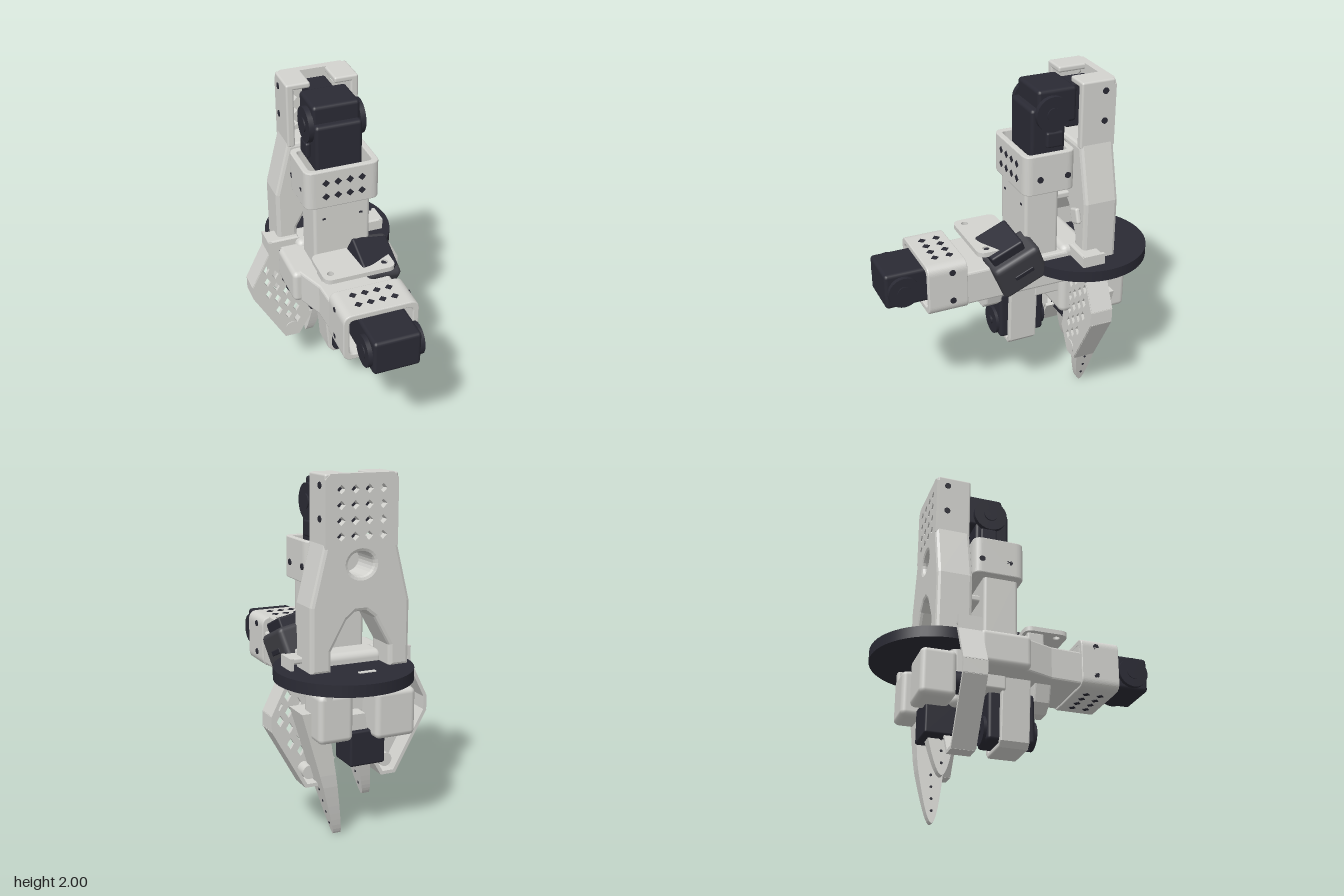
import * as THREE from 'three';
import { RoundedBoxGeometry } from 'three/addons/geometries/RoundedBoxGeometry.js';

const light = new THREE.MeshStandardMaterial({ color: 0xd2d2ce });
light.name = 'light plastic';
const dark = new THREE.MeshStandardMaterial({ color: 0x2a2a34 });
dark.name = 'dark motor';
const grey = new THREE.MeshStandardMaterial({ color: 0x414147 });
grey.name = 'dark grey case';

export function createModel() {
  const root = new THREE.Group();
  const add = (name, geo, mat = light, parent = root) => {
    const m = new THREE.Mesh(geo, mat);
    m.name = name;
    parent.add(m);
    return m;
  };
  // box given by its limits on each axis
  const box = (name, x0, x1, y0, y1, z0, z1, mat = light, r = 0.012) => {
    const m = add(name, new RoundedBoxGeometry(x1 - x0, y1 - y0, z1 - z0, 2, r), mat);
    m.position.set((x0 + x1) / 2, (y0 + y1) / 2, (z0 + z1) / 2);
    return m;
  };
  const poly = (pts, Type = THREE.Shape) => new Type(pts.map(p => new THREE.Vector2(...p)));
  const diamond = (x, y, w, h = w) => poly([[x - w, y], [x, y - h], [x + w, y], [x, y + h]], THREE.Path);
  const ext = (shape, z0, z1, bevel = 0) => new THREE.ExtrudeGeometry(shape, {
    depth: z1 - z0 - 2 * bevel, bevelEnabled: bevel > 0, bevelSize: bevel, bevelOffset: -bevel,
    bevelThickness: bevel, bevelSegments: 2, curveSegments: 12,
  }).translate(0, 0, z0 + bevel);
  // shape drawn in (x, -z) and raised from y0 to y1
  const rise = (shape, y0, y1, bevel = 0) => ext(shape, y0, y1, bevel).rotateX(-Math.PI / 2);
  const roundRect = (x0, x1, y0, y1, r, Type = THREE.Shape) => {
    const s = new Type();
    s.moveTo(x0 + r, y0).lineTo(x1 - r, y0).quadraticCurveTo(x1, y0, x1, y0 + r);
    s.lineTo(x1, y1 - r).quadraticCurveTo(x1, y1, x1 - r, y1);
    s.lineTo(x0 + r, y1).quadraticCurveTo(x0, y1, x0, y1 - r);
    s.lineTo(x0, y0 + r).quadraticCurveTo(x0, y0, x0 + r, y0);
    return s;
  };
  const disc = (name, axis, r, len, x, y, z, mat = dark, sides = 24) => {
    const g = new THREE.CylinderGeometry(r, r, len, sides);
    if (axis === 'x') g.rotateZ(Math.PI / 2);
    if (axis === 'z') g.rotateX(Math.PI / 2);
    add(name, g, mat).position.set(x, y, z);
  };

  // round base plate
  disc('baseDisc', 'y', 0.38, 0.065, 0.055, 0.937, -0.425, dark, 64);
  box('baseSlot', -0.05, 0.05, 0.965, 0.976, -0.61, -0.585, light, 0.004);

  // back frame with arched legs
  const frame = poly([[-0.29, 0.96], [-0.17, 0.96], [-0.17, 1.08], [-0.08, 1.24], [-0.03, 1.28], [0.03, 1.28],
    [0.08, 1.24], [0.17, 1.08], [0.17, 0.96], [0.29, 0.96], [0.29, 1.32], [0.21, 1.64], [-0.21, 1.64], [-0.29, 1.32]]);
  const oval = new THREE.Path();
  oval.absellipse(0, 1.53, 0.075, 0.065, 0, Math.PI * 2);
  frame.holes.push(oval);
  add('backFrame', ext(frame, -0.525, -0.32, 0.02));
  const panel = poly([[-0.21, 1.62], [0.21, 1.62], [0.21, 1.97], [0.18, 2], [-0.18, 2], [-0.21, 1.97]]);
  for (let i = 0; i < 4; i++) for (let j = 0; j < 4; j++) {
    panel.holes.push(diamond(-0.12 + i * 0.08, 1.68 + j * 0.08, 0.024));
  }
  add('backPanel', ext(panel, -0.525, -0.48));
  for (const s of [-1, 1]) {
    box('frameSideWall', s < 0 ? -0.21 : 0.165, s < 0 ? -0.165 : 0.21, 1.62, 2, -0.52, -0.32);
    box('frameTop', s < 0 ? -0.2 : 0.07, s < 0 ? -0.07 : 0.2, 1.965, 2, -0.52, -0.32);
    for (const y of [1.77, 1.94]) disc('frameScrew', 'x', 0.018, 0.008, s * 0.211, y, -0.46, dark, 12);
  }

  // shoulder motor
  box('shoulderMotor', -0.135, 0.135, 1.58, 1.86, -0.265, -0.06, dark, 0.02);
  box('shoulderMotorTop', -0.135, 0.135, 1.76, 1.96, -0.33, -0.1, dark, 0.02);
  box('shoulderMotorTail', -0.07, 0.07, 1.7, 1.95, -0.48, -0.3, dark);
  for (const s of [-1, 1]) {
    disc('shoulderHorn', 'x', 0.1, 0.03, s * 0.148, 1.83, -0.18);
    disc('shoulderHub', 'x', 0.04, 0.06, s * 0.14, 1.83, -0.18);
    box('shoulderLug', s * 0.15 - 0.015, s * 0.15 + 0.015, 1.64, 1.73, -0.24, -0.14, dark);
  }

  // motor sleeve: a rounded ring with rows of diamonds on one face
  const ring = (x0, x1, y0, y1, t) => {
    const s = roundRect(x0, x1, y0, y1, 0.055);
    s.holes.push(roundRect(x0 + t, x1 - t, y0 + t, y1 - t, 0.03, THREE.Path));
    return s;
  };
  const marks = [];
  for (let i = 0; i < 4; i++) for (let j = 0; j < 2; j++) {
    marks.push(poly(diamond(-0.105 + i * 0.07, j * 0.085, 0.022).getPoints().map(p => [p.x, p.y])));
  }
  add('towerSleeve', rise(ring(-0.22, 0.215, -0.01, 0.295, 0.035), 1.4, 1.63, 0.006));
  box('towerSleeveFloor', -0.19, 0.19, 1.4, 1.44, -0.27, -0.02);
  add('towerSleeveHoles', ext(marks, 0.008, 0.013), dark).position.y = 1.472;
  for (const s of [-1, 1]) for (const z of [-0.08, -0.245]) {
    disc('sleeveScrew', 'x', 0.018, 0.006, s * 0.217, 1.49, z, dark, 12);
  }

  // tower column and its stay
  box('towerColumn', -0.17, 0.165, 0.98, 1.42, -0.22, -0.015, light, 0.02);
  box('towerStay', -0.09, 0.09, 1.28, 1.32, -0.33, -0.2);
  box('frameCatch', 0.17, 0.25, 1.18, 1.27, -0.32, -0.29).rotation.z = 0.35;
  for (const s of [-1, 1]) box('columnPin', s * 0.11 - 0.01, s * 0.11 + 0.01, 1.305, 1.318, -0.02, -0.012, dark, 0.003);

  // forward arm
  const arm = poly([[-0.2, -0.37], [0.2, -0.37], [0.2, 0.28], [-0.29, 0.28], [-0.29, 0.05], [-0.21, -0.17]]);
  arm.holes.push(poly([[-0.07, -0.36], [0.07, -0.36], [0.07, -0.28], [-0.07, -0.28]], THREE.Path));
  add('forwardArm', rise(arm, 0.8, 1.0, 0.012));
  box('armShoulder', -0.31, -0.22, 0.8, 1.0, -0.28, 0.02, light, 0.03);
  const plate = roundRect(-0.21, 0.21, -0.28, -0.02, 0.05);
  for (const s of [-1, 1]) {
    const hole = new THREE.Path();
    hole.absarc(s * 0.16, -0.22, 0.02, 0, Math.PI * 2);
    plate.holes.push(hole);
    box('plateSupport', s * 0.15 - 0.03, s * 0.15 + 0.03, 0.98, 1.09, 0.04, 0.14);
  }
  add('topPlate', rise(plate, 1.083, 1.11));

  // arm sleeve and motor
  add('armSleeve', ext(ring(-0.22, 0.215, 0.785, 1.085, 0.035), 0.35, 0.58, 0.006));
  box('armSleeveFloor', -0.19, 0.19, 0.81, 1.06, 0.35, 0.38);
  const topMarks = add('armSleeveHoles', ext(marks, -0.002, 0.004), dark);
  topMarks.rotation.x = -Math.PI / 2;
  topMarks.position.set(0, 1.085, 0.5);
  const underMarks = add('armSleeveHolesBelow', ext(marks, -0.002, 0.004), dark);
  underMarks.rotation.x = Math.PI / 2;
  underMarks.position.set(0, 0.785, 0.42);
  box('armMotor', -0.135, 0.135, 0.84, 1.05, 0.42, 0.8, dark, 0.02);
  for (const s of [-1, 1]) {
    disc('armHorn', 'x', 0.09, 0.025, s * 0.148, 0.94, 0.7);
    disc('armHub', 'x', 0.04, 0.05, s * 0.14, 0.94, 0.7);
    for (const y of [0.86, 1.035]) disc('sleeveScrew', 'x', 0.018, 0.006, s * 0.217, y, 0.44, dark, 12);
  }

  // tilted camera case on the side of the arm
  const cam = new THREE.Group();
  cam.name = 'cameraCase';
  cam.position.set(0.16, 0.97, 0.045);
  cam.rotation.set(0.4, 0, -0.2);
  root.add(cam);
  add('caseBody', new RoundedBoxGeometry(0.2, 0.24, 0.29, 2, 0.03), grey, cam);
  add('caseSlot', new RoundedBoxGeometry(0.012, 0.03, 0.12, 2, 0.005), dark, cam).position.set(0.1, 0, -0.01);
  add('caseLid', new RoundedBoxGeometry(0.22, 0.1, 0.2, 2, 0.012), dark, cam).position.set(-0.06, 0.13, 0.02);

  // hanging wrist bracket and motor
  const bracket = poly([[-0.15, 0.81], [-0.12, 0.44], [-0.09, 0.41], [0.11, 0.41], [0.14, 0.44], [0.16, 0.81]]);
  bracket.holes.push(poly([[-0.11, 0.76], [0.12, 0.76], [0.1, 0.44], [-0.08, 0.44]], THREE.Path));
  add('wristBracket', ext(bracket, -0.1, 0.07, 0.008));
  box('wristMotor', -0.1, 0.1, 0.445, 0.74, -0.165, 0.11, dark, 0.02);
  for (const z of [0.115, -0.17]) {
    disc('wristHorn', 'z', 0.085, 0.025, 0, 0.525, z);
    disc('wristHub', 'z', 0.025, 0.045, 0, 0.525, z);
  }
  const brace = poly([[-0.13, 0.81], [-0.1, 0.7], [-0.04, 0.65], [0.04, 0.65], [0.1, 0.7], [0.13, 0.81]]);
  add('wristBrace', ext(brace, 0.1, 0.2, 0.01));

  // gripper body
  box('gripperBody', -0.2, 0.2, 0.58, 1.03, -0.41, -0.23, light, 0.04);
  box('gripperLink', -0.16, 0.16, 0.72, 0.95, -0.25, -0.08);
  box('gripperBlock', -0.3, -0.06, 0.58, 0.85, -0.6, -0.4, light, 0.03);
  box('gripperBlock', 0.08, 0.28, 0.6, 0.87, -0.61, -0.4, light, 0.03);
  box('gripperPost', 0.2, 0.25, 0.82, 0.91, -0.61, -0.56);
  disc('gripperGear', 'z', 0.065, 0.2, -0.2, 0.7, -0.38, dark, 16);
  disc('gripperGearHub', 'z', 0.03, 0.26, -0.2, 0.7, -0.38, dark, 12);
  box('gripperMotor', -0.15, 0.06, 0.42, 0.62, -0.53, -0.34, dark);

  // perforated side wings with a deep rim
  const outline = [[0.17, 1.03], [0.36, 1.03], [0.36, 0.95], [0.47, 0.73], [0.47, 0.65], [0.28, 0.31], [0.2, 0.31], [0.12, 0.45]];
  for (const s of [-1, 1]) {
    const wing = poly(outline.map(([x, y]) => [s * x, y]));
    for (let i = 0; i < 5; i++) for (let j = 0; j < 4; j++) {
      const x = 0.2 + 0.055 * j + 0.005 * i, y = 0.43 + 0.092 * i + 0.045 * (j % 2);
      if (x < 0.435 && y > 1.75 * x - 0.06 && y < 1.52 - 1.6 * x) wing.holes.push(diamond(s * x, y, 0.021, 0.033));
    }
    add('gripperWing', ext(wing, -0.305, -0.285));
    for (let i = 1; i < 7; i++) {
      const [ax, ay] = outline[i], [bx, by] = outline[i + 1];
      const rim = add('wingRim', new THREE.BoxGeometry(Math.hypot(bx - ax, by - ay) + 0.01, 0.02, 0.13));
      rim.position.set(s * ((ax + bx) / 2 - 0.008), (ay + by) / 2, -0.355);
      rim.rotation.z = s * Math.atan2(by - ay, bx - ax);
    }
    box('wingTop', s < 0 ? -0.36 : 0.17, s < 0 ? -0.17 : 0.36, 1.0, 1.035, -0.41, -0.29);
    disc('wingBoss', 'z', 0.04, 0.1, s * 0.235, 0.37, -0.33, light);
  }

  // curved fingers: a rounded side profile, thickened and leaned
  const finger = (name, tipX, tipY, len, lean) => {
    const left = [], right = [];
    for (let i = 0; i <= 14; i++) {
      const t = (i / 14) ** 2, w = 0.085 * Math.min(1, Math.sqrt(t * 2.2)) * (0.8 + 0.2 * t);
      right.push([w, t * len]);
      if (i) left.unshift([-w, t * len]);
    }
    const g = ext(poly([...right, ...left]), -0.5, 0.5).rotateY(Math.PI / 2);
    const p = g.attributes.position;
    for (let i = 0; i < p.count; i++) {
      const y = p.getY(i);
      p.setX(i, p.getX(i) * (0.045 + 0.13 * y) + lean * y);
    }
    g.computeVertexNormals();
    add(name, g).position.set(tipX, tipY, -0.42);
    for (const y of [0.07, 0.14, 0.21, 0.28]) {
      disc('fingerHole', 'x', 0.008, 0.049 + 0.13 * y, tipX + lean * y, tipY + y, -0.42, dark, 8);
    }
  };
  finger('longFinger', 0.09, 0, 0.75, 0.23);
  finger('shortFinger', -0.085, 0.21, 0.5, 0.2);

  return root;
}
